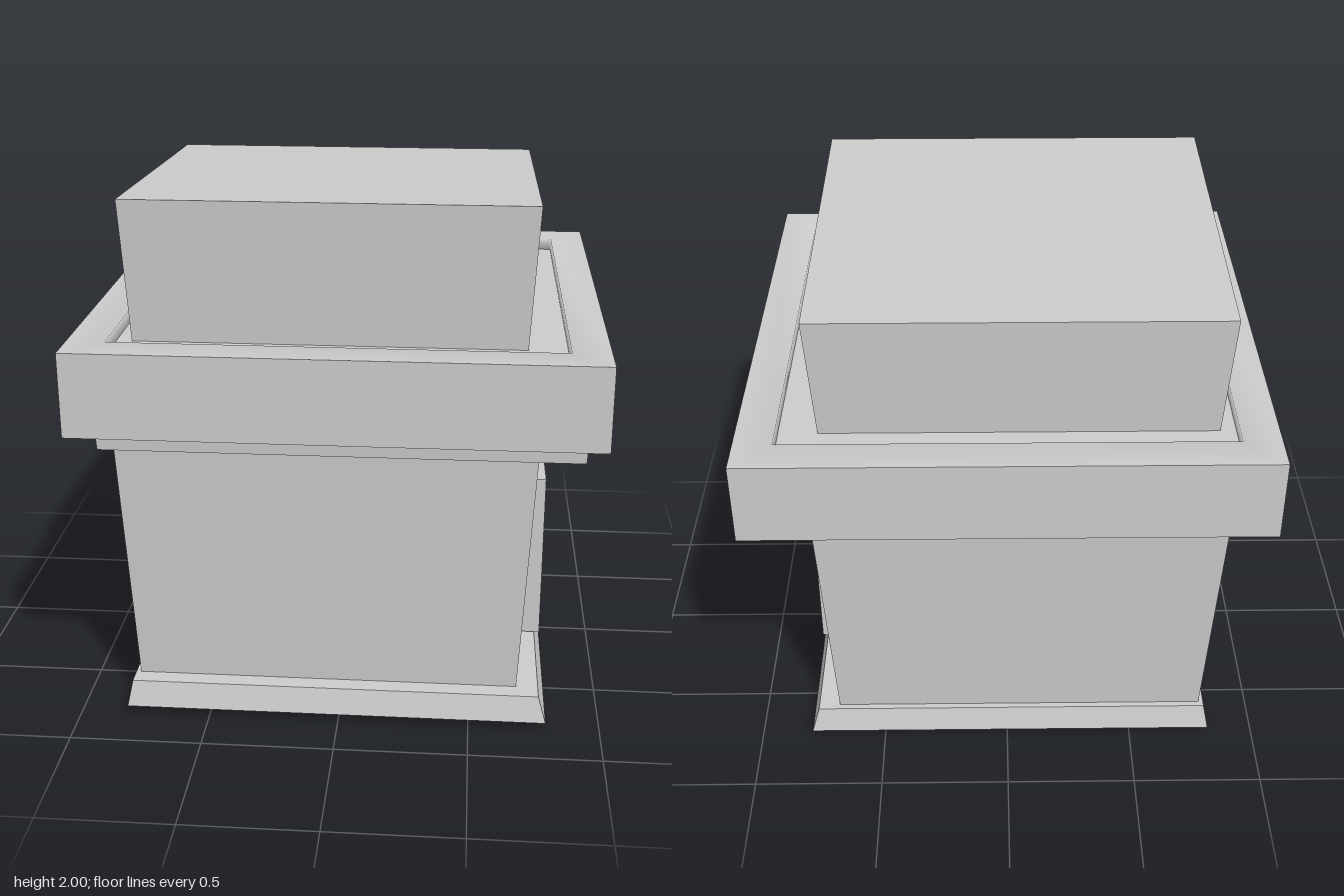
import * as THREE from 'three';

const material = new THREE.MeshStandardMaterial({ color: 0xcccccc });

// A rectangular cross-section: x from x0 to x1, z from z0 (back) to z1 (front).
const section = (y, x0, x1, z0, z1, yBack = y) => [
  [x0, y, z1], [x1, y, z1], [x1, yBack, z0], [x0, yBack, z0],
];

// Joins four-cornered sections into a skin, with optional closed ends.
function loft(name, sections, { bottom = true, top = true, smooth = false } = {}) {
  const index = [];
  for (let s = 0; s < sections.length - 1; s++) {
    for (let i = 0; i < 4; i++) {
      const a = s * 4 + i, b = s * 4 + (i + 1) % 4;
      index.push(a, b, b + 4, a, b + 4, a + 4);
    }
  }
  const t = (sections.length - 1) * 4;
  if (bottom) index.push(0, 2, 1, 0, 3, 2);
  if (top) index.push(t, t + 1, t + 2, t, t + 2, t + 3);

  let geometry = new THREE.BufferGeometry();
  geometry.setAttribute('position', new THREE.Float32BufferAttribute(sections.flat(2), 3));
  geometry.setIndex(index);
  if (!smooth) geometry = geometry.toNonIndexed();
  geometry.computeVertexNormals();
  const mesh = new THREE.Mesh(geometry, material);
  mesh.name = name;
  return mesh;
}

// Door surround: an arch-like frame standing on the +x wall.
function doorFrame() {
  const outline = [
    [-0.295, 0.14], [-0.105, 0.14], [-0.105, 0.665], [0.09, 0.665],
    [0.09, 0.14], [0.29, 0.14], [0.29, 0.81], [-0.295, 0.82],
  ].map(([u, v]) => new THREE.Vector2(u, v));
  const geometry = new THREE.ExtrudeGeometry(new THREE.Shape(outline), {
    depth: 0.095, bevelEnabled: false,
  });
  geometry.rotateY(Math.PI / 2).translate(0.69, 0, 0);
  const mesh = new THREE.Mesh(geometry, material);
  mesh.name = 'doorFrame';
  return mesh;
}

export function createModel() {
  const model = new THREE.Group();
  model.name = 'tower';

  const outer = 0.96, inner = 0.82;
  const square = (y, r) => section(y, -r, r, -r, r);

  model.add(
    // Walls flare slightly towards the top
    loft('walls', [
      section(0, -0.775, 0.675, -0.69, 0.71),
      section(1.2, -0.833, 0.733, -0.748, 0.763),
    ]),
    // Sloping plinth around the foot
    loft('plinth', [
      section(0.03, -0.82, 0.795, -0.745, 0.81),
      section(0.13, -0.8, 0.765, -0.72, 0.785),
    ]),
    doorFrame(),
    // Thin moulding under the cornice
    loft('moulding', [
      section(1.12, -0.865, 0.89, -0.85, 0.85),
      section(1.21, -0.87, 0.895, -0.855, 0.855),
    ]),
    // Wide cornice with a softly shaded rim and a shallow sunken floor
    loft('cornice', [square(1.205, outer), square(1.52, outer)], { top: false }),
    loft('corniceRim', [square(1.52, outer), square(1.52, inner), square(1.47, inner)],
      { bottom: false, top: false, smooth: true }),
    loft('corniceFloor', [square(1.47, inner)], { bottom: false }),
    // Upper storey, its roof falling towards the back
    loft('upperStorey', [
      section(1.47, -0.763, 0.678, -0.683, 0.648),
      section(2, -0.79, 0.705, -0.71, 0.675, 1.94),
    ]),
  );
  return model;
}
